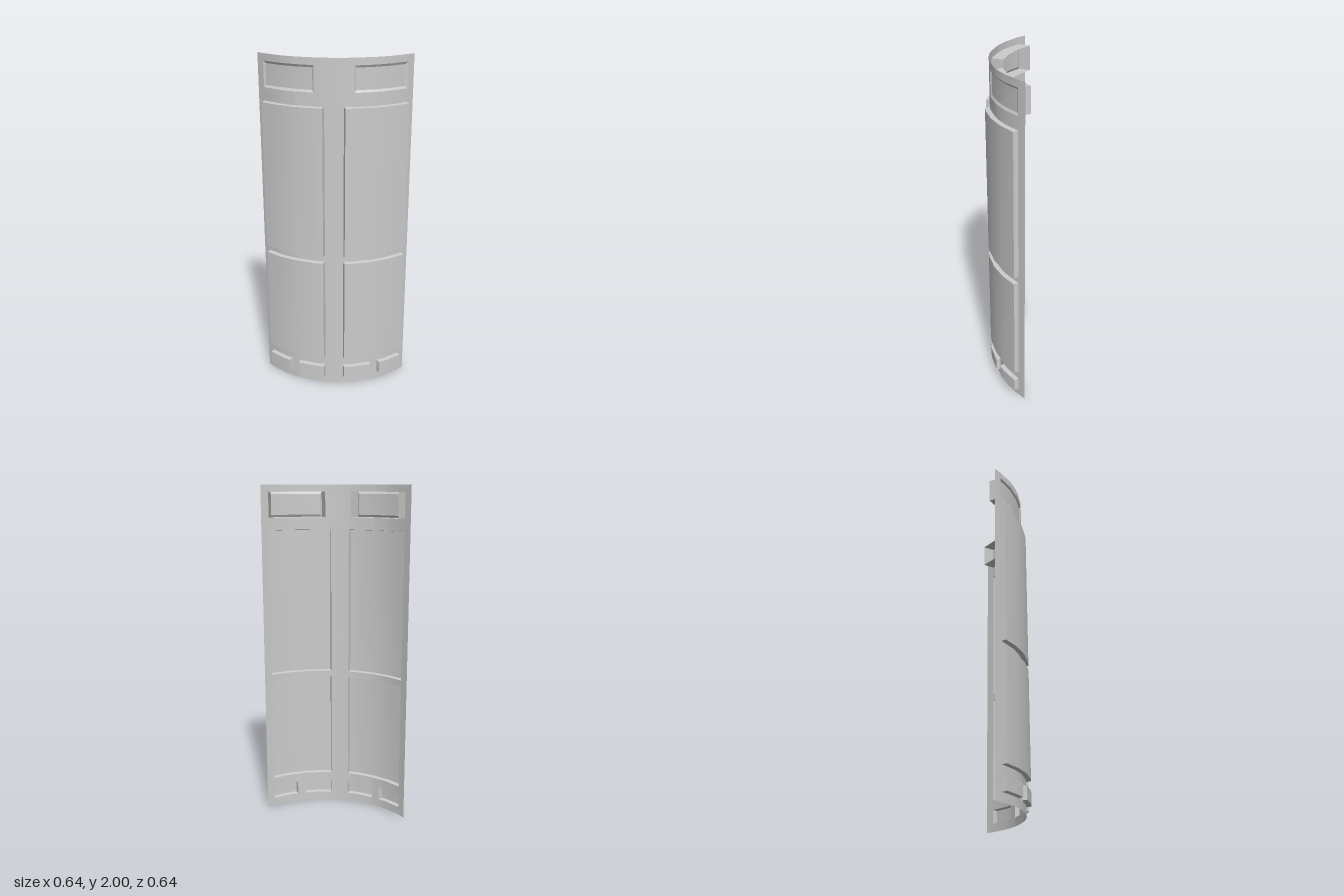
import * as THREE from 'three';

// Upright curved sheet, about a quarter of a cylinder, bulging towards -x +z
const R = 0.577, R_OUT = 0.604, CX = 0.284, CZ = -0.284;
const T_MIN = -3.2, T_MAX = 93.2, STEP = 10.8;
const rad = THREE.MathUtils.degToRad;

// Angle runs from +z (0 degrees) to -x (90 degrees)
const at = (t, y, r = R) =>
  new THREE.Vector3(CX - r * Math.sin(rad(t)), y, CZ + r * Math.cos(rad(t)));

const FACETS = [];
for (let k = -4; k <= 4; k++) FACETS.push(45 + k * STEP);
const columns = (t0, t1) => [t0, ...FACETS.filter(t => t > t0 + 1.5 && t < t1 - 1.5), t1];

const material = new THREE.MeshStandardMaterial({ color: 0xcccccc, side: THREE.DoubleSide });

// Surface through rows of points, with optional cells left out
function surface(name, rows, isHole = () => false) {
  const n = rows[0].length, index = [];
  for (let i = 0; i < rows.length - 1; i++) {
    for (let j = 0; j < n - 1; j++) {
      if (isHole(i, j)) continue;
      const a = i * n + j, b = a + 1, c = a + n, d = c + 1;
      index.push(a, c, b, b, c, d);
    }
  }
  const geometry = new THREE.BufferGeometry().setFromPoints(rows.flat());
  geometry.setIndex(index);
  geometry.computeVertexNormals();
  const mesh = new THREE.Mesh(geometry, material);
  mesh.name = name;
  return mesh;
}

// Four walls joining a lower and upper rim to a shifted lower and upper edge
function walls(name, low, high, lowTop, highTop) {
  const group = new THREE.Group(), e = low.length - 1;
  group.name = name;
  group.add(
    surface('bottomWall', [low, lowTop]),
    surface('topWall', [highTop, high]),
    surface('firstEndWall', [[low[0], lowTop[0]], [high[0], highTop[0]]]),
    surface('secondEndWall', [[lowTop[e], low[e]], [highTop[e], high[e]]]),
  );
  return group;
}

// Face at another radius, drawn in by dt and dy, with walls back to the sheet
function pressing(name, { t0, t1, y0, y1 }, r, dt, dy) {
  const group = new THREE.Group();
  group.name = name;
  const base = columns(t0, t1);
  const face = base.map((t, i) => (i === 0 ? t + dt : i === base.length - 1 ? t - dt : t));
  const low = base.map(t => at(t, y0)), high = base.map(t => at(t, y1));
  const lowFace = face.map(t => at(t, y0 + dy, r));
  const highFace = face.map(t => at(t, y1 - dy, r));
  group.add(surface('face', [lowFace, highFace]),
    walls('edges', low, high, lowFace, highFace));
  return group;
}

// Collar pushed straight inwards around a window with a shallow bevelled pane
function windowPocket(o) {
  const group = new THREE.Group();
  group.name = o.name;
  const mid = rad((o.t0 + o.t1) / 2), depth = 0.072;
  const inward = new THREE.Vector3(depth * Math.sin(mid), 0, -depth * Math.cos(mid));
  const push = p => p.clone().add(inward);
  const base = columns(o.t0, o.t1);
  const low = base.map(t => at(t, o.y0)), high = base.map(t => at(t, o.y1));
  group.add(
    pressing('pane', o, R - 0.008, 1, 0.013),
    walls('collar', low, high, low.map(push), high.map(push)),
  );
  return group;
}

export function createModel() {
  const model = new THREE.Group();
  model.name = 'curvedPanel';

  // Openings of one half; the other half mirrors them about 45 degrees
  const half = [
    { name: 'upperPanel', t0: 1.8, t1: 39.7, y0: 0.868, y1: 1.74 },
    { name: 'lowerPanel', t0: 1.8, t1: 39.7, y0: 0.187, y1: 0.83 },
    { name: 'outerFootBlock', t0: 1.8, t1: 18, y0: 0.05, y1: 0.13 },
    { name: 'innerFootBlock', t0: 23, t1: 39.7, y0: 0.05, y1: 0.13 },
    { name: 'windowPocket', t0: 1.8, t1: 34.2, y0: 1.815, y1: 1.96, pocket: true },
  ];
  const openings = half.flatMap(o => [
    { ...o, name: o.name + 'Left' },
    { ...o, name: o.name + 'Right', t0: 90 - o.t1, t1: 90 - o.t0 },
  ]);

  // Sheet with the openings cut out
  const sorted = list => list.sort((a, b) => a - b)
    .filter((v, i, s) => i === 0 || v - s[i - 1] > 1e-6);
  const ts = sorted([T_MIN, T_MAX, ...FACETS, ...openings.flatMap(o => [o.t0, o.t1])]);
  const ys = sorted([0, 2, ...openings.flatMap(o => [o.y0, o.y1])]);
  const isHole = (i, j) => {
    const y = (ys[i] + ys[i + 1]) / 2, t = (ts[j] + ts[j + 1]) / 2;
    return openings.some(o => t > o.t0 && t < o.t1 && y > o.y0 && y < o.y1);
  };
  model.add(surface('sheet', ys.map(y => ts.map(t => at(t, y))), isHole));

  // Panels and foot blocks bulge outwards, pockets go inwards
  for (const o of openings) {
    model.add(o.pocket ? windowPocket(o) : pressing(o.name, o, R_OUT, 0.6, 0.003));
  }
  return model;
}
